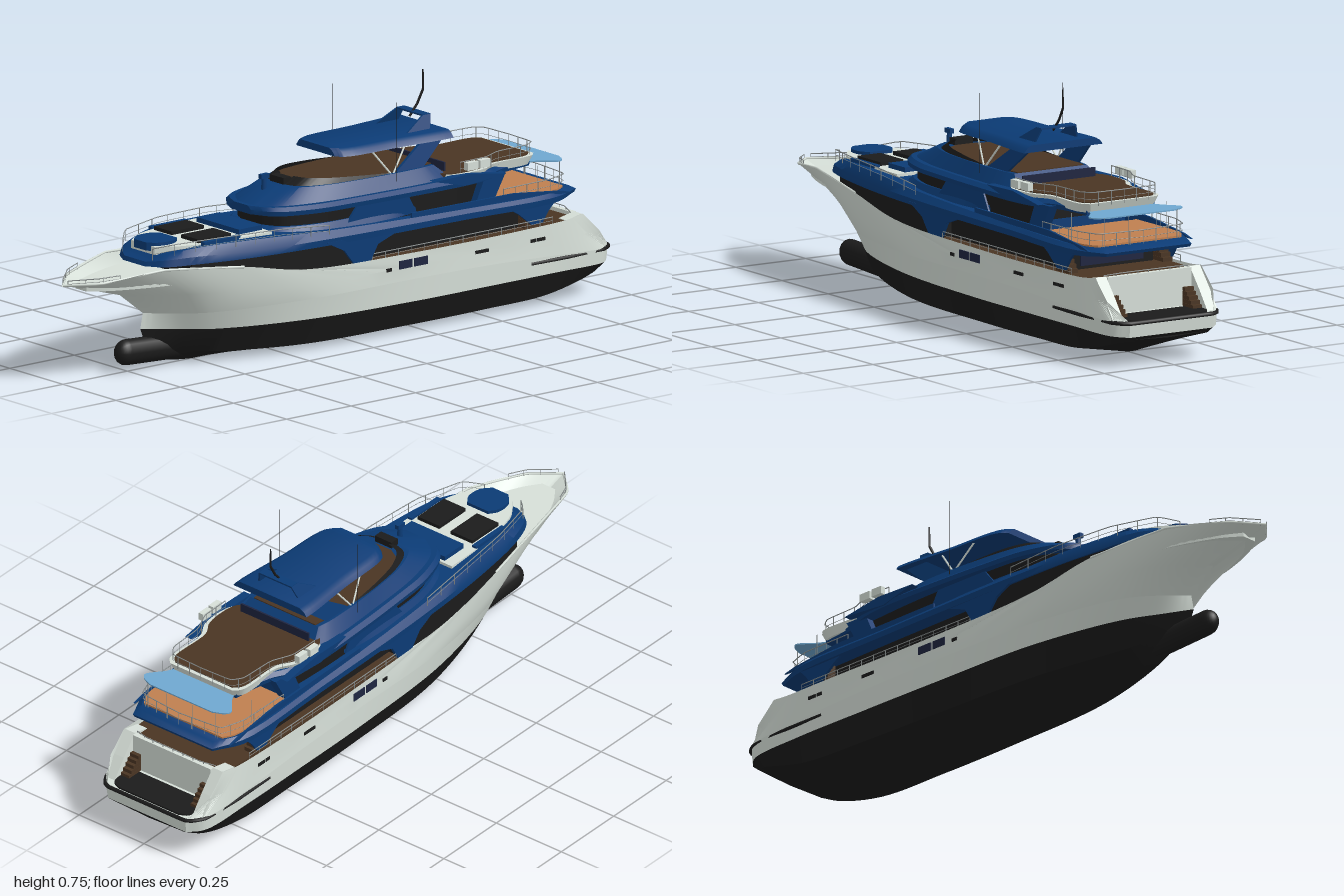
import * as THREE from 'three';
import { toCreasedNormals } from 'three/addons/utils/BufferGeometryUtils.js';

const paint = (name, color) => new THREE.MeshStandardMaterial({ name, color, side: THREE.DoubleSide });

export function createModel() {
  const white = paint('white', 0xd6dfd8), blue = paint('blue', 0x0b3b75), black = paint('black', 0x1b1b1b);
  const teak = paint('dark teak', 0x4a3523), tan = paint('tan teak', 0xbf7f4f), sky = paint('light blue', 0x6fa8d0);
  const navy = paint('navy glass', 0x1e2540), metal = paint('metal', 0x868c8c);
  const model = new THREE.Group();
  model.name = 'yacht';

  const add = (name, geo, mat, x = 0, y = 0, z = 0) => {
    const m = new THREE.Mesh(geo, mat);
    m.name = name;
    m.position.set(x, y, z);
    model.add(m);
    return m;
  };
  const box = (name, mat, [x0, x1], [y0, y1], [z0, z1]) =>
    add(name, new THREE.BoxGeometry(x1 - x0, y1 - y0, z1 - z0), mat, (x0 + x1) / 2, (y0 + y1) / 2, (z0 + z1) / 2);
  const both = (f) => [1, -1].forEach(f);
  const pair = (name, mat, x, y, [z0, z1]) =>
    both((s) => box(name, mat, x, y, s > 0 ? [z0, z1] : [-z1, -z0]));

  // Quads between neighbouring rows of points
  function grid(rows, out) {
    const tri = (a, b, c) => {
      const n = b.clone().sub(a).cross(c.clone().sub(a));
      if (n.length() > 1e-10) for (const p of [a, b, c]) out.push(p.x, p.y, p.z);
    };
    for (let i = 0; i + 1 < rows.length; i++)
      for (let j = 0; j + 1 < rows[i].length; j++) {
        const a = rows[i][j], b = rows[i][j + 1], c = rows[i + 1][j + 1], d = rows[i + 1][j];
        tri(a, b, c);
        tri(a, c, d);
      }
  }
  const flip = (row) => row.map((p) => new THREE.Vector3(p.x, p.y, -p.z));

  // Mirrored body lofted through levels, each a half outline [x, z, y] from bow to stern
  function body(name, mat, levels, { bottom = true, top = true, ends = true, n = 32 } = {}) {
    const rows = levels.map((l) =>
      new THREE.CatmullRomCurve3(l.map(([x, z, y]) => new THREE.Vector3(x, y, z))).getPoints(n)
        .map((p) => p.set(p.x, Math.max(0, p.y), Math.max(0, p.z))));
    const out = [], last = rows[rows.length - 1];
    grid(rows, out);
    grid(rows.map(flip).reverse(), out);
    if (top) grid([last, flip(last)], out);
    if (bottom) grid([flip(rows[0]), rows[0]], out);
    if (ends) {
      const stern = rows.map((r) => r[n]), bow = rows.map((r) => r[0]);
      grid([flip(stern), stern], out);
      grid([bow, flip(bow)], out);
    }
    const g = new THREE.BufferGeometry();
    g.setAttribute('position', new THREE.Float32BufferAttribute(out, 3));
    return add(name, toCreasedNormals(g, 0.6), mat);
  }
  const at = (pts, y, dz = 0) => pts.map(([x, z]) => [x, z + dz, y]);
  const slab = (name, mat, pts, y0, y1, opt) => body(name, mat, [at(pts, y0), at(pts, y1)], opt);

  // Mirrored side plate cut from an x-y outline, leaning inboard by lean per unit of height
  function sidePlate(name, mat, pts, z0, z1, lean = 0) {
    both((s) => {
      const g = new THREE.ExtrudeGeometry(new THREE.Shape(pts.map(([x, y]) => new THREE.Vector2(x, y))),
        { depth: z1 - z0, bevelEnabled: false });
      const p = g.attributes.position;
      for (let i = 0; i < p.count; i++) p.setZ(i, p.getZ(i) - s * lean * (p.getY(i) - pts[0][1]));
      g.computeVertexNormals();
      add(name, g, mat, 0, 0, s > 0 ? z0 : -z1);
    });
  }
  const curve = (pts, s = 1) => new THREE.CatmullRomCurve3(
    pts.map(([x, y, z]) => new THREE.Vector3(x, y, z * s)), false, 'catmullrom', 0.1);
  const tube = (name, mat, pts, r, s = 1) =>
    add(name, new THREE.TubeGeometry(curve(pts, s), 24, r, 6), mat);
  // Top bar, middle bar and posts on both sides
  function rail(name, pts, drop, posts) {
    both((s) => {
      tube(name, metal, pts, 0.0016, s);
      tube(name, metal, pts.map(([x, y, z]) => [x, y - drop / 2, z]), 0.0008, s);
      for (const p of curve(pts, s).getSpacedPoints(posts))
        add(name + 'Post', new THREE.CylinderGeometry(0.0012, 0.0012, drop, 5), metal, p.x, p.y - drop / 2, p.z);
    });
  }

  // Hull
  const keel = [[-.66, 0, .03], [-.6, 0, .012], [-.5, 0, 0], [-.2, 0, 0], [.2, 0, 0], [.5, 0, 0], [.75, 0, 0], [.93, 0, .064], [.975, 0, .08]];
  const chine = [[-.68, 0, .07], [-.62, .025, .055], [-.5, .07, .035], [-.2, .14, .02], [.2, .16, .018], [.5, .165, .02], [.75, .168, .028], [.93, .165, .07], [.975, .135, .085]];
  const water = [[-.7, 0, .122], [-.62, .045, .118], [-.5, .11, .112], [-.2, .178, .105], [.2, .197, .1], [.5, .2, .1], [.75, .2, .1], [.94, .188, .097], [.985, .15, .095]];
  const knuckle = [[-.69, 0, .17], [-.64, .05, .17], [-.53, .125, .17], [-.2, .19, .17], [.2, .2, .17], [.5, .202, .165], [.72, .202, .155], [.945, .19, .142], [.99, .15, .14]];
  const mid = [[-.78, 0, .24], [-.72, .06, .24], [-.58, .145, .24], [-.3, .192, .222], [.2, .2, .21], [.5, .2, .21], [.7, .2, .205], [.86, .196, .2], [.925, .19, .2]];
  const sheer = [[-1, 0, .305], [-.92, .08, .312], [-.72, .142, .335], [-.45, .186, .31], [-.22, .196, .267], [.2, .2, .252], [.66, .2, .252], [.8, .195, .255], [.86, .19, .262]];
  body('bottomHull', black, [keel, chine, water], { bottom: false, top: false, n: 64 });
  body('lowerTopsides', white, [water, knuckle], { bottom: false, n: 64 });
  body('upperTopsides', white, [knuckle, mid, sheer], { bottom: false, top: false, ends: false, n: 64 });
  const bulb = add('bulbousBow', new THREE.CapsuleGeometry(0.04, 0.22, 8, 16), black, -.645, .054, 0);
  bulb.rotation.z = Math.PI / 2 - 0.05;
  bulb.scale.z = 0.8;
  slab('bowDeck', white, [[-.93, .025], [-.87, .065], [-.74, .115], [-.6, .145]], .28, .294);
  both((s) => tube('capRail', white, sheer.slice(0, 4).map(([x, z, y]) => [x, y, z]), 0.004, s));

  // Stern: wings, transom, platform, steps and rubbing strake
  sidePlate('sternWing', white, [[.8, .14], [.955, .14], [.91, .2], [.858, .262], [.8, .25]], .15, .187);
  box('transom', white, [.85, .868], [.14, .26], [-.15, .15]);
  slab('swimPlatform', black, [[.86, .15], [.94, .15], [.965, .142], [.98, .115]], .135, .146);
  for (let i = 0; i < 5; i++)
    pair('sternStep', teak, [.86, .925 - i * .011], [.144 + i * .012, .1555 + i * .012], [.118, .15]);
  both((s) => tube('rubbingStrake', black, [[.65, .142, .199], [.8, .141, .2], [.94, .139, .19], [.978, .139, .168], [.99, .139, .145], [.99, .139, 0]], .0065, s));

  // Hull windows
  pair('hullWindow', navy, [.14, .19], [.209, .234], [.197, .203]);
  pair('hullWindow', navy, [.197, .25], [.209, .234], [.197, .203]);
  for (const [x, w] of [[.1, .02], [.46, .05], [.66, .02], [.69, .03]])
    pair('hullPort', black, [x - w / 2, x + w / 2], [.208, .218], [.197, .203]);

  // Main deck
  slab('forwardWindows', black, [[-.61, .135], [-.4, .176], [-.2, .188], [.02, .19]], .25, .336);
  slab('mainDeck', teak, [[0, .192], [.5, .192], [.86, .182]], .236, .248);
  box('saloon', black, [0, .66], [.245, .33], [-.15, .15]);
  box('saloonDoors', navy, [.66, .664], [.258, .314], [-.112, .112]);
  sidePlate('sideSupport', blue, [[-.14, .335], [.16, .335], [.06, .3], [.03, .25], [-.03, .25], [-.07, .3]], .186, .198);
  sidePlate('aftSupport', blue, [[.56, .33], [.76, .33], [.725, .295], [.7, .26], [.66, .26], [.61, .3]], .186, .195);
  for (let i = 0; i < 5; i++)
    pair('sideStep', teak, [.64, .71 - i * .01], [.25 + i * .013, .2625 + i * .013], [.152, .186]);

  // Upper deck with raised foredeck and lower aft terrace
  body('upperDeck', blue, [
    [[-.725, .05, .33], [-.69, .108, .332], [-.6, .15, .335], [-.4, .18, .33], [-.1, .197, .325], [.4, .2, .32], [.75, .195, .315], [.86, .15, .322]],
    [[-.72, .05, .343], [-.685, .105, .352], [-.6, .147, .358], [-.4, .178, .35], [-.1, .198, .345], [.4, .2, .338], [.75, .197, .332], [.865, .152, .332]],
    [[-.7, .045, .35], [-.67, .09, .366], [-.58, .13, .38], [-.4, .16, .38], [-.1, .18, .366], [.4, .188, .35], [.75, .185, .344], [.845, .14, .343]],
  ]);
  slab('aftTerrace', tan, [[.5, .176], [.7, .178], [.78, .17], [.815, .15]], .338, .349);
  sidePlate('terraceBulwark', blue, [[.2, .34], [.82, .335], [.78, .345], [.6, .366], [.2, .37]], .18, .187);

  // Foredeck lounge
  slab('loungeBase', white, [[-.69, .055], [-.62, .1], [-.45, .13], [-.3, .135]], .36, .385);
  slab('bowSofa', blue, [[-.7, .03], [-.67, .055], [-.62, .058], [-.59, .04]], .37, .395);
  pair('sunPad', black, [-.56, -.435], [.38, .396], [.022, .105]);
  box('loungeSofa', blue, [-.4, -.31], [.38, .4], [-.1, .1]);
  pair('loungeSide', blue, [-.56, -.42], [.375, .392], [.116, .132]);

  // Wheelhouse and upper saloon
  const house = [[-.27, .05], [-.24, .1], [-.14, .142], [0, .155], [.3, .155], [.52, .14]];
  slab('upperSaloon', black, house, .34, .432);
  body('wheelhouseSill', blue, [
    at([[-.33, .05], [-.29, .12], [-.17, .16], [0, .17], [.15, .168], [.24, .157]], .36),
    at([[-.29, .05], [-.255, .106], [-.15, .148], [0, .158], [.15, .158], [.24, .156]], .385)]);
  sidePlate('housePanel', blue, [[-.04, .36], [.24, .36], [.2, .432], [.02, .432]], .15, .163);
  box('terraceSill', blue, [.515, .526], [.34, .378], [-.142, .142]);
  sidePlate('houseFin', blue, [[.46, .345], [.53, .345], [.58, .432], [.5, .432]], .138, .168);

  // Flybridge deck, coaming and windscreen
  const fly = [[-.31, .045], [-.27, .115], [-.15, .163], [0, .178], [.2, .188], [.42, .19], [.52, .172], [.58, .142], [.71, .12]];
  body('flybridgeDeck', blue, [at(fly, .422), at(fly, .436, .002), at(fly, .447, -.012)]);
  sidePlate('flybridgeWing', blue, [[.28, .455], [.42, .458], [.56, .436], [.4, .425]], .17, .197);
  body('flybridgeCoaming', blue, [
    at([[-.3, .035], [-.25, .1], [-.12, .142], [.1, .16], [.3, .165], [.38, .15]], .445),
    at([[-.2, .03], [-.17, .075], [-.09, .112], [.1, .135], [.28, .137], [.33, .13]], .488)]);
  slab('cockpitFloor', teak, [[-.13, .04], [-.09, .095], [.05, .122], [.25, .125], [.33, .118]], .47, .491);
  body('windscreen', black, [
    at([[-.17, .03], [-.15, .075], [-.08, .109], [.05, .128], [.17, .132]], .486),
    [[-.13, .03, .508], [-.115, .07, .508], [-.06, .103, .505], [.05, .123, .498], [.17, .13, .489]],
  ], { bottom: false, top: false, ends: false });
  box('windscreenFront', black, [-.17, -.14], [.488, .508], [-.032, .032]);
  const floor = [[.33, .135], [.37, .165], [.48, .165], [.54, .135], [.69, .13], [.715, .11]];
  body('flybridgeRim', white, [at(floor, .43, .002), floor.map(([x, z]) => [x + .012, z + .01, .458])]);
  slab('flybridgeFloor', teak, floor, .44, .461);
  box('coamingGlass', navy, [.372, .378], [.45, .488], [-.13, .13]);
  slab('aftAwning', sky, [[.68, .1], [.735, .125], [.79, .165], [.808, .155], [.825, .12]], .429, .433);
  pair('liferaft', white, [.41, .45], [.468, .492], [.178, .196]);
  pair('liferaft', white, [.46, .5], [.468, .492], [.176, .194]);

  // Hardtop, raked arch and masts
  const roof = [[-.02, .075], [.01, .1], [.2, .112], [.36, .125], [.4, .125]];
  body('hardtop', blue, [at(roof, .562, .016), at(roof, .575, .006), at(roof, .584, -.01)]);
  sidePlate('archLeg', blue, [[.16, .47], [.27, .47], [.39, .57], [.31, .57]], .124, .134, .2);
  sidePlate('upperArch', blue, [[.27, .582], [.36, .582], [.375, .625], [.345, .625]], .072, .078, .35);
  box('archTop', blue, [.345, .375], [.621, .626], [-.062, .062]);
  both((s) => {
    tube('roofStrut', white, [[.1, .57, .11], [.17, .48, .132]], .003, s);
    tube('roofStrut', white, [[.24, .57, .112], [.17, .48, .132]], .003, s);
    add('antenna', new THREE.CylinderGeometry(.0007, .0012, .27, 5), black, .17, .575, s * .15);
  });
  tube('mast', black, [[.345, .61, 0], [.375, .645, 0], [.397, .685, 0]], .0038);
  add('mastTip', new THREE.CylinderGeometry(.0022, .0034, .064, 6), black, .397, .715, 0);
  add('searchlightPost', new THREE.CylinderGeometry(.007, .01, .06, 10), blue, -.22, .485, 0);
  box('searchlight', blue, [-.235, -.205], [.51, .524], [-.007, .007]);

  // Rails
  rail('foredeckRail', [[-.71, .385, .07], [-.66, .4, .118], [-.5, .405, .158], [-.3, .4, .178], [-.12, .385, .187]], .035, 9);
  rail('sideDeckRail', [[.04, .272, .196], [.4, .272, .197], [.74, .272, .195]], .022, 14);
  rail('bowRail', [[-.99, .32, .012], [-.92, .328, .075], [-.86, .333, .1]], .02, 3);
  rail('upperDeckRail', [[.56, .385, .182], [.74, .385, .178], [.82, .385, .15], [.835, .385, 0]], .042, 9);
  rail('flybridgeRail', [[.4, .492, .172], [.5, .492, .17], [.57, .492, .14], [.69, .492, .135], [.725, .492, .11], [.73, .492, 0]], .042, 10);
  rail('sternRail', [[.845, .262, .15], [.862, .268, .1], [.862, .268, 0]], .02, 4);
  for (const [x, z] of [[.7, .17], [.82, .13], [.83, .05]])
    both((s) => add('awningPole', new THREE.CylinderGeometry(.0012, .0012, .09, 5), metal, x, .387, s * z));
  return model;
}
